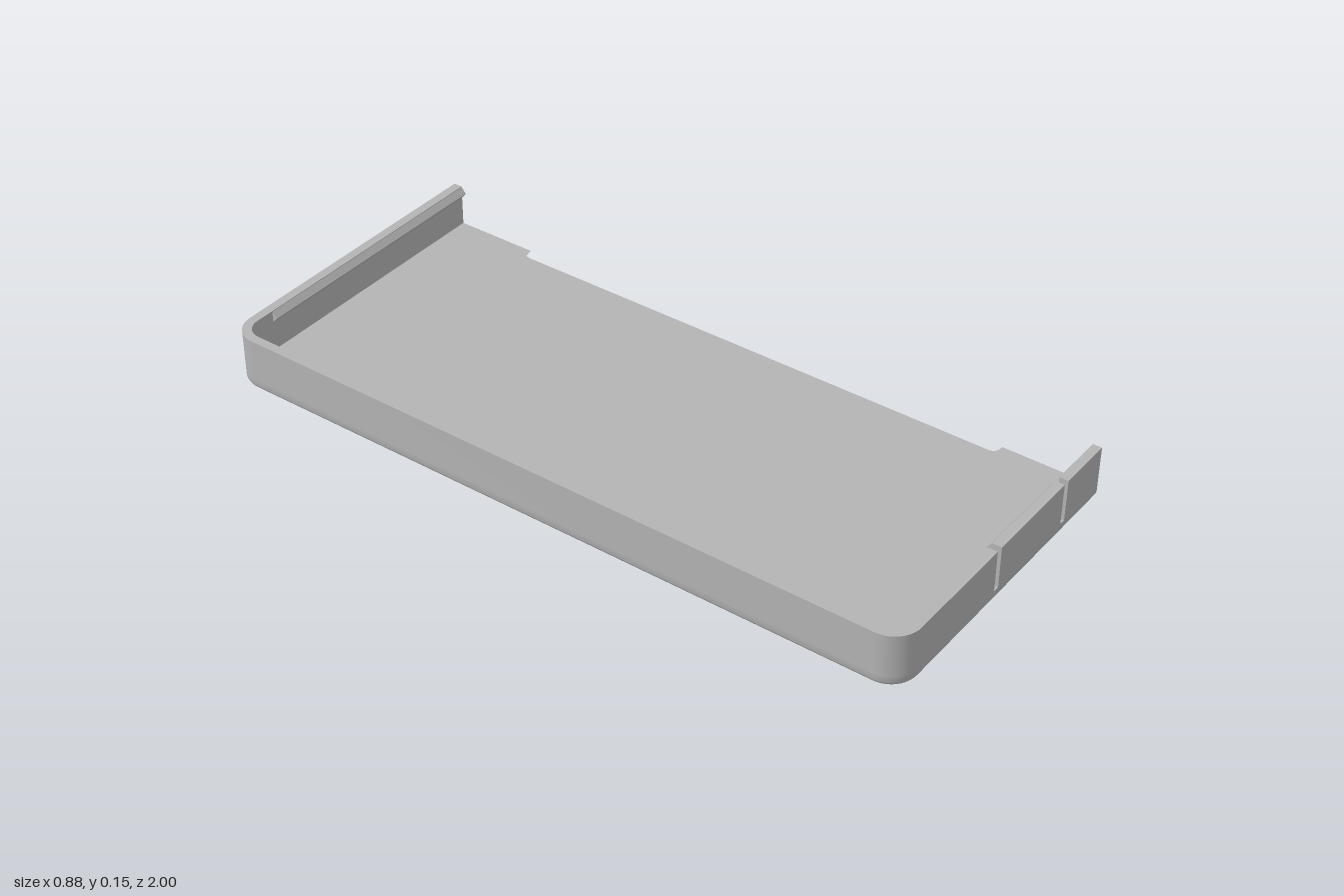
import * as THREE from 'three';
import { mergeVertices, toCreasedNormals } from 'three/addons/utils/BufferGeometryUtils.js';

const HX = 0.44, HZ = 1, H = 0.15;      // half width, half length, height
const FLOOR = 0.033, WALL = 0.025;      // floor and wall thickness
const CORNER = 0.075, EDGE = 0.02;      // plan corner and bottom edge radii
const SLITS = [[-0.042, -0.024], [0.262, 0.28]];

// Plan outline [x, z] inset by d: from the front end round both corners to the back end
function plan(d, frontX = HX) {
  const pts = [[frontX, HZ - d]], n = 10, r = CORNER - d;
  for (const side of [1, -1]) {
    for (let i = 0; i <= n; i++) {
      const a = (i / n) * Math.PI / 2;
      const [s, c] = side > 0 ? [Math.sin(a), Math.cos(a)] : [Math.cos(a), Math.sin(a)];
      pts.push([-HX + CORNER - r * s, side * (HZ - CORNER + r * c)]);
    }
  }
  pts.push([HX, -HZ + d]);
  return pts;
}

// Floor outline at height y, with the bevelled cut-out in the open edge
function floorOutline(y, d) {
  const t = y / FLOOR, x = 0.382 + 0.028 * t, z = 0.77 - 0.032 * t;
  const cut = [[HX, z], [x + 0.012, z - 0.003], [x + 0.003, z - 0.009], [x, z - 0.02]];
  return [...plan(d), ...cut.map(([a, b]) => [a, -b]), ...cut.reverse()];
}

const shapeOf = (pts, sign) => new THREE.Shape(pts.map(([x, z]) => new THREE.Vector2(x, sign * z)));

// Loft through the floor outlines
function floorSides(levels) {
  const pos = [], idx = [];
  const n = levels[0].pts.length;
  for (const { y, pts } of levels) for (const [x, z] of pts) pos.push(x, y, z);
  for (let k = 0; k < levels.length - 1; k++) {
    for (let i = 0; i < n; i++) {
      const a = k * n + i, b = k * n + (i + 1) % n;
      idx.push(b, a, a + n, b, a + n, b + n);
    }
  }
  const geo = new THREE.BufferGeometry();
  geo.setAttribute('position', new THREE.Float32BufferAttribute(pos, 3));
  geo.setIndex(idx);
  return toCreasedNormals(geo, 0.5);
}

// Upright wall raised from a plan polygon
function wall(pts) {
  const geo = new THREE.ExtrudeGeometry(shapeOf(pts, -1), { depth: H - FLOOR, bevelEnabled: false });
  geo.rotateX(-Math.PI / 2).translate(0, FLOOR, 0);
  geo.deleteAttribute('uv');
  geo.deleteAttribute('normal');
  return toCreasedNormals(mergeVertices(geo), 0.5);
}

// Straight piece of the front wall
const frontPiece = (x0, x1) => wall([[x0, HZ], [x1, HZ], [x1, HZ - WALL], [x0, HZ - WALL]]);

// Triangular snap ridge on the inside of the front (side 1) or back (side -1) wall
function ridge(x0, x1, side) {
  const s = new THREE.Shape([[-0.003, 0.115], [0, 0.115], [0.014, 0.132], [0, 0.148], [-0.003, 0.148]]
    .map(([u, y]) => new THREE.Vector2(u, y)));
  const geo = new THREE.ExtrudeGeometry(s, { depth: x1 - x0, bevelEnabled: false });
  geo.rotateY(side * Math.PI / 2);
  return geo.translate(side > 0 ? x0 : x1, 0, side * (HZ - WALL));
}

export function createModel() {
  const group = new THREE.Group();
  const grey = new THREE.MeshStandardMaterial({ color: 0xb4b4b4 });
  grey.name = 'grey';
  const add = (name, geo) => {
    const mesh = new THREE.Mesh(geo, grey);
    mesh.name = name;
    group.add(mesh);
  };

  // Floor with rounded lower edge
  const levels = [];
  for (let i = 0; i <= 6; i++) {
    const a = (i / 6) * Math.PI / 2;
    const y = EDGE * (1 - Math.cos(a));
    levels.push({ y, pts: floorOutline(y, EDGE * (1 - Math.sin(a))) });
  }
  levels.push({ y: FLOOR, pts: floorOutline(FLOOR, 0) });
  add('floorEdge', floorSides(levels));
  add('floorTop', new THREE.ShapeGeometry(shapeOf(levels[7].pts, -1)).rotateX(-Math.PI / 2).translate(0, FLOOR, 0));
  add('floorUnderside', new THREE.ShapeGeometry(shapeOf(levels[0].pts, 1)).rotateX(Math.PI / 2));

  // Walls, with the front one split by two slits
  const endX = SLITS[0][0];
  add('mainWall', wall([...plan(0, endX), ...plan(WALL, endX).reverse()]));
  add('clipTab', frontPiece(SLITS[0][1], SLITS[1][0]));
  add('frontWallEnd', frontPiece(SLITS[1][1], HX));

  // Snap ridges
  add('clipRidge', ridge(SLITS[0][1], SLITS[1][0], 1));
  add('backRidge', ridge(-0.31, HX, -1));

  return group;
}
